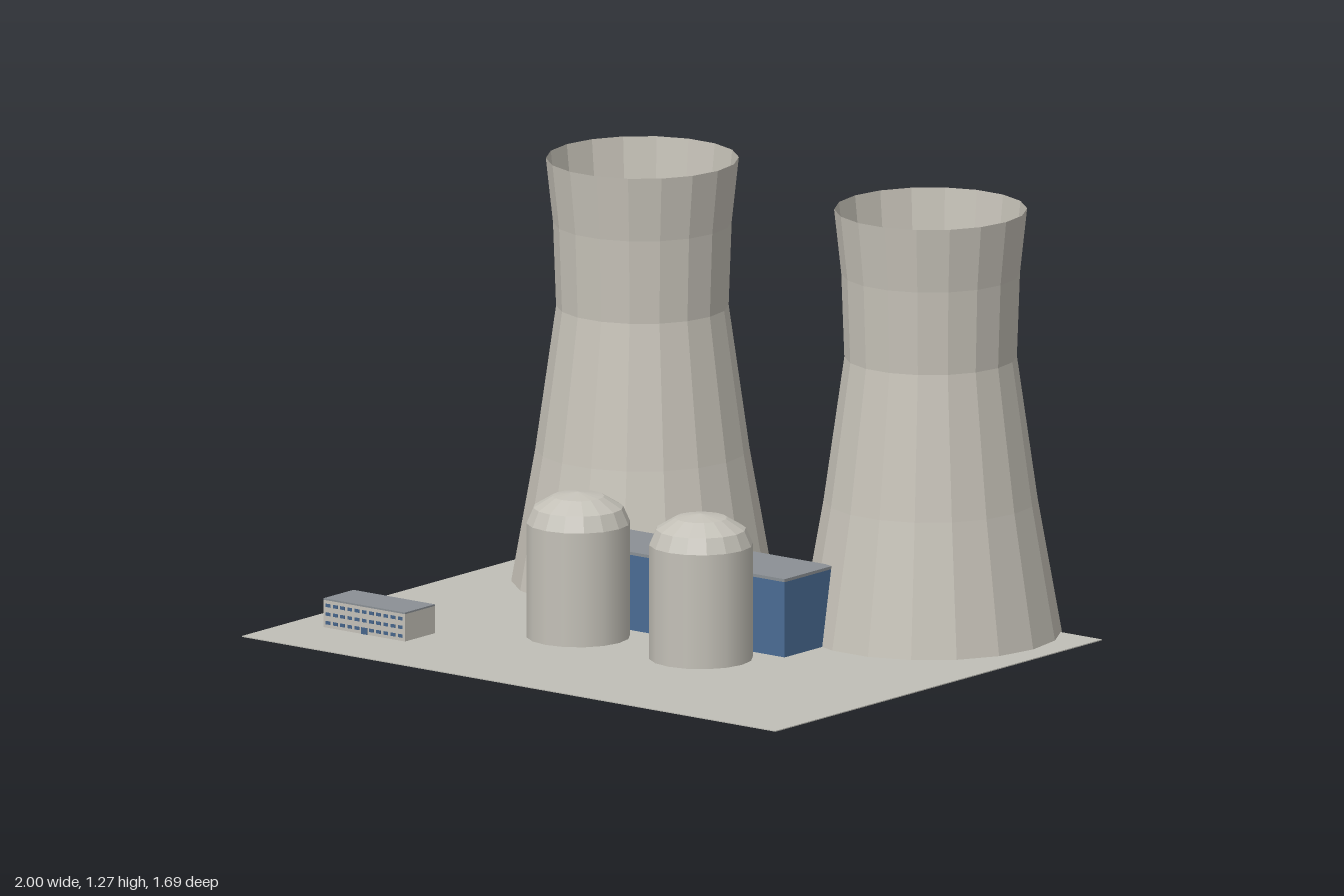
import * as THREE from 'three';

const mat = (name, color, side = THREE.FrontSide) => {
  const m = new THREE.MeshStandardMaterial({ color, side });
  m.name = name;
  return m;
};

// Faceted copy of a geometry
function faceted(geometry) {
  const g = geometry.toNonIndexed();
  g.computeVertexNormals();
  return g;
}

function add(parent, name, geometry, material, x = 0, y = 0, z = 0) {
  const mesh = new THREE.Mesh(geometry, material);
  mesh.name = name;
  mesh.position.set(x, y, z);
  parent.add(mesh);
  return mesh;
}

// Box that stands on the given height
function addBlock(parent, name, [w, h, d], material, x, y, z) {
  return add(parent, name, new THREE.BoxGeometry(w, h, d), material, x, y + h / 2, z);
}

function group(parent, name, x = 0, z = 0) {
  const g = new THREE.Group();
  g.name = name;
  g.position.set(x, 0, z);
  parent.add(g);
  return g;
}

export function createModel() {
  const model = new THREE.Group();
  model.name = 'powerPlant';

  const ground = mat('ground grey', 0xc0bfb7);
  const shell = mat('tower concrete', 0xc6c2b8, THREE.DoubleSide);
  const concrete = mat('building concrete', 0xc4c1b8);
  const blue = mat('cladding blue', 0x4a6c94);
  const roof = mat('roof grey', 0x8b9095);
  const glass = mat('window blue', 0x46648a);

  // Site slab
  addBlock(model, 'ground', [2, 0.003, 1.535], ground, 0, 0, 0.0725);

  // Open cooling towers with a narrow throat
  const profile = [[0.385, 0], [0.314, 0.4], [0.253, 0.83], [0.262, 1.08], [0.283, 1.273]]
    .map(([r, y]) => new THREE.Vector2(r, y));
  const towerGeometry = faceted(new THREE.LatheGeometry(profile, 18, Math.PI / 2));

  // Reactor walls are smooth, their domes are faceted
  const R = 0.153, WALL = 0.345, RISE = 0.092;
  const wallGeometry = new THREE.CylinderGeometry(R, R, WALL, 16, 1, true);
  const domeProfile = [0, 30, 60, 90].map((deg) => {
    const a = THREE.MathUtils.degToRad(deg);
    return new THREE.Vector2(deg === 90 ? 0 : R * Math.cos(a), RISE * Math.sin(a));
  });
  const domeGeometry = faceted(new THREE.LatheGeometry(domeProfile, 16));

  for (const [side, s] of [['left', 1], ['right', -1]]) {
    add(model, `${side}CoolingTower`, towerGeometry, shell, s * 0.54, 0, -0.466);
    const reactor = group(model, `${side}Reactor`, s * 0.23, 0.225);
    add(reactor, 'reactorWall', wallGeometry, concrete, 0, WALL / 2, 0);
    add(reactor, 'reactorDome', domeGeometry, concrete, 0, WALL, 0);
  }

  // Turbine hall
  const hall = group(model, 'turbineHall', 0, -0.045);
  addBlock(hall, 'hallWalls', [0.84, 0.227, 0.23], blue, 0, 0.002, 0);
  addBlock(hall, 'hallRoof', [0.84, 0.009, 0.23], roof, 0, 0.229, 0);

  // Office block with rows of windows on front and back
  const office = group(model, 'office', -0.7325, 0.53);
  addBlock(office, 'officeWalls', [0.305, 0.083, 0.14], concrete, 0, 0.002, 0);
  addBlock(office, 'officeRoof', [0.305, 0.005, 0.14], roof, 0, 0.085, 0);
  for (const face of [1, -1]) {
    for (let row = 0; row < 3; row++) {
      for (let col = 0; col < 11; col++) {
        if (face === 1 && row === 0 && col === 5) continue;
        addBlock(office, 'officeWindow', [0.017, 0.01, 0.002], glass,
          (col - 5) * 0.027, 0.013 + row * 0.026, face * 0.0705);
      }
    }
  }
  addBlock(office, 'officeDoor', [0.022, 0.02, 0.002], glass, 0, 0.003, 0.0705);

  return model;
}
